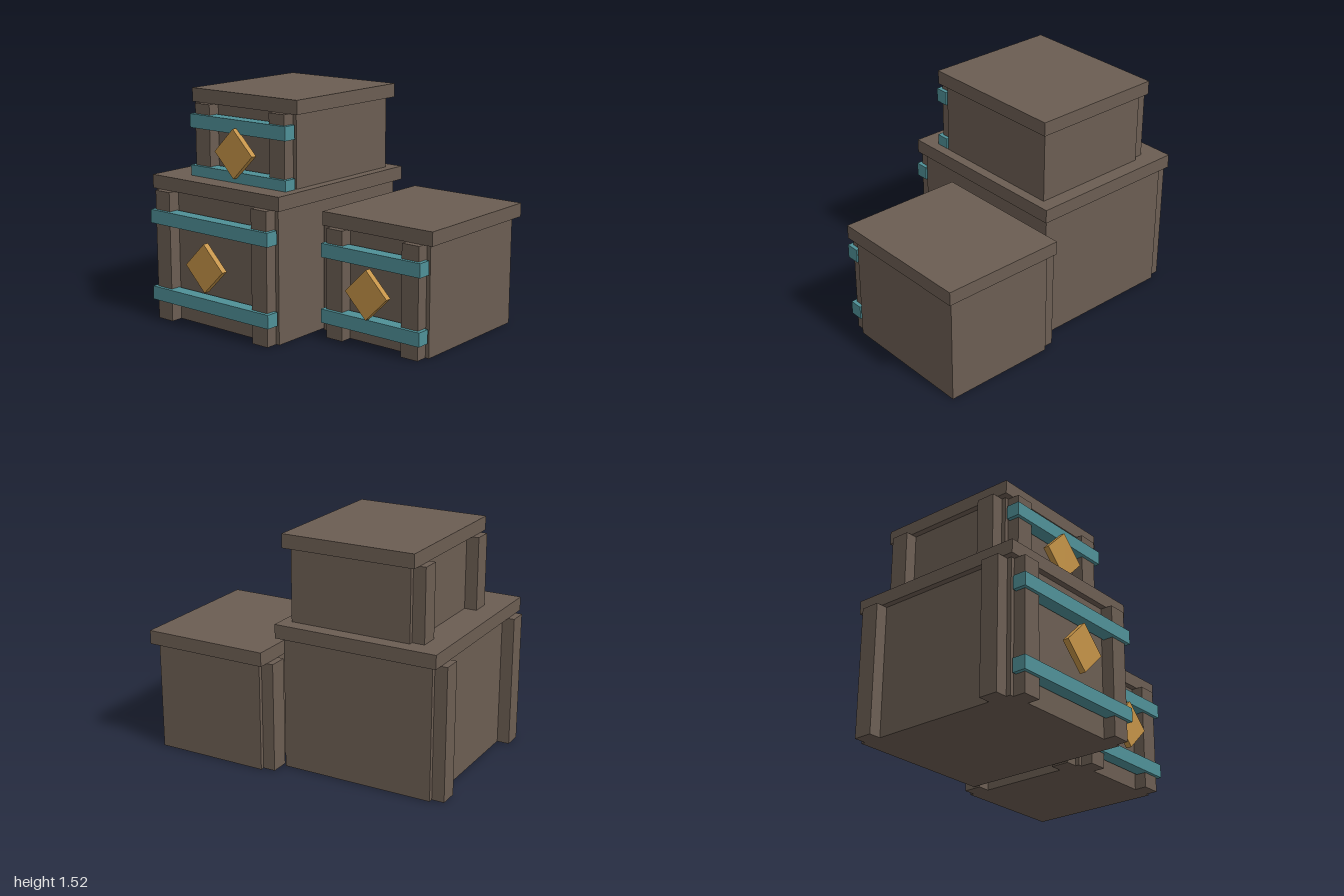
import * as THREE from 'three';

const wood = new THREE.MeshStandardMaterial({ color: 0x6b5d52 });
wood.name = 'brown wood';
const teal = new THREE.MeshStandardMaterial({ color: 0x4f9097 });
teal.name = 'teal band';
const gold = new THREE.MeshStandardMaterial({ color: 0xc49347 });
gold.name = 'gold emblem';

// Box given by its minimum and maximum corners
function box(parent, name, material, [x0, y0, z0], [x1, y1, z1]) {
  const mesh = new THREE.Mesh(new THREE.BoxGeometry(x1 - x0, y1 - y0, z1 - z0), material);
  mesh.position.set((x0 + x1) / 2, (y0 + y1) / 2, (z0 + z1) / 2);
  mesh.name = name;
  parent.add(mesh);
  return mesh;
}

// Crate with a lid, posts on the front and the -x side, two bands and a diamond
function crate({ name, x, y, z, w, h, d, bands, diamondY, frontPosts, sidePosts }) {
  const g = new THREE.Group();
  g.name = name;
  g.position.set(x, y, z);
  const X = w / 2, Z = d / 2, out = 0.082, post = 0.126;

  box(g, 'body', wood, [-X, 0, -Z], [X, h, Z]);
  box(g, 'lid', wood, [-X - 0.04, h, -Z - 0.04], [X + 0.04, h + 0.09, Z + 0.04]);

  for (const s of [-1, 1]) {
    const px = s * frontPosts, pz = s * sidePosts;
    box(g, 'frontPost', wood, [px - post / 2, 0, Z + out - post], [px + post / 2, h, Z + out]);
    box(g, 'sidePost', wood, [-X - out, 0, pz - post / 2], [-X - out + post, h, pz + post / 2]);
  }

  for (const b of bands) {
    box(g, 'band', teal, [-X, b - 0.045, Z + 0.015], [X, b + 0.045, Z + 0.105]);
  }

  const r = 0.113;
  const diamond = box(g, 'diamondEmblem', gold, [-r, diamondY - r, Z + 0.098], [r, diamondY + r, Z + 0.138]);
  diamond.rotation.z = Math.PI / 4;
  return g;
}

export function createModel() {
  const model = new THREE.Group();
  model.name = 'crateStack';
  model.add(
    crate({
      name: 'largeCrate', x: -0.412, y: 0, z: 0.014, w: 1.014, h: 0.866, d: 1.17,
      bands: [0.175, 0.694], diamondY: 0.433, frontPosts: 0.418, sidePosts: 0.492,
    }),
    crate({
      name: 'sideCrate', x: 0.579, y: 0, z: -0.24, w: 0.758, h: 0.714, d: 0.91,
      bands: [0.145, 0.573], diamondY: 0.358, frontPosts: 0.29, sidePosts: 0.365,
    }),
    crate({
      name: 'topCrate', x: -0.336, y: 0.956, z: -0.06, w: 0.812, h: 0.473, d: 0.914,
      bands: [0.025, 0.36], diamondY: 0.192, frontPosts: 0.317, sidePosts: 0.366,
    }),
  );
  return model;
}
